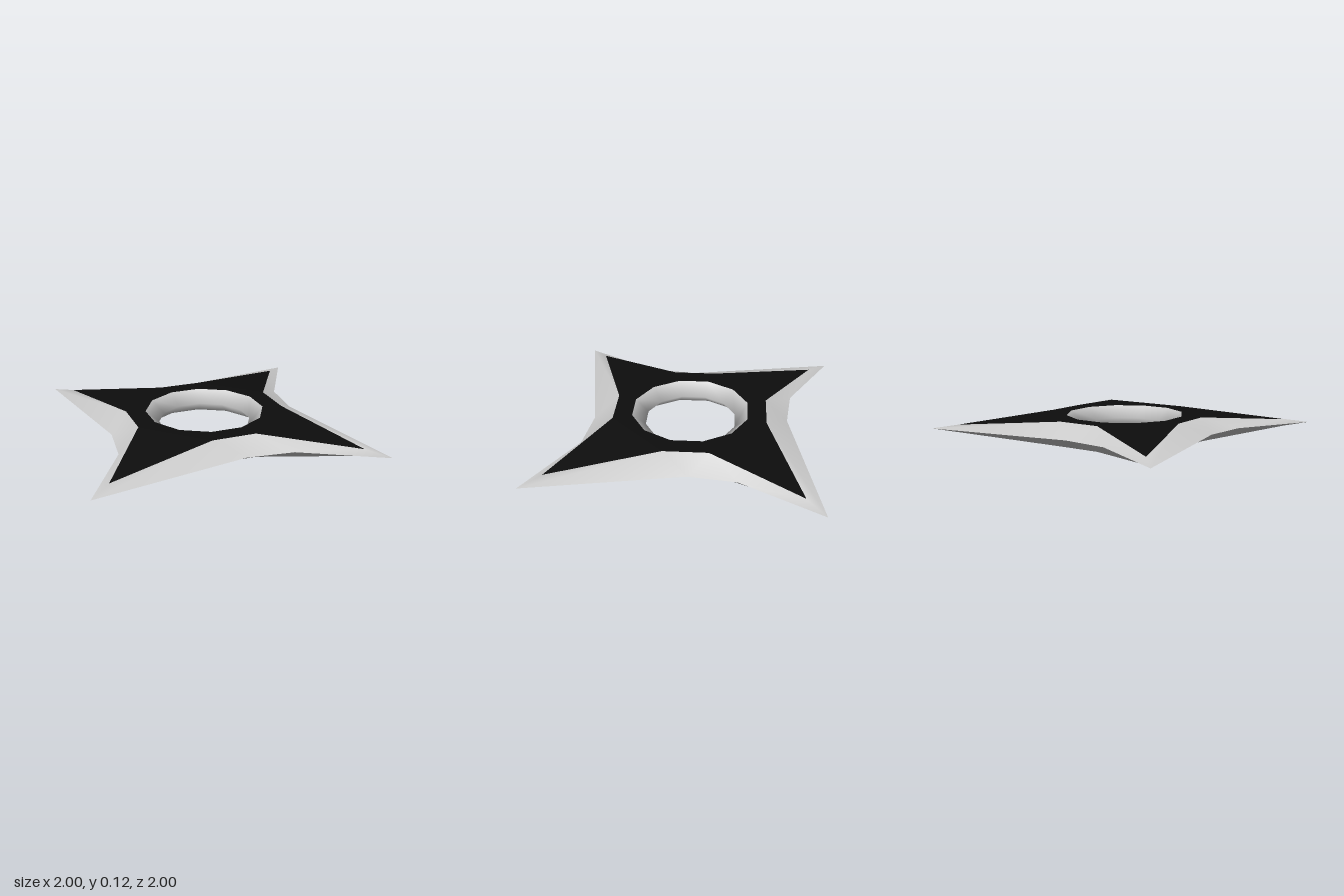
import * as THREE from 'three';
import { toCreasedNormals } from 'three/addons/utils/BufferGeometryUtils.js';

const THICK = 0.125, MID = THICK / 2;

// One quarter of each outline as [x, y, z], clockwise from above: tip, then two valley points
const EDGE = [[0.08, MID, -1], [0.2, MID, -0.56], [0.35, MID, -0.37]];
const FACE = [[0.07, 0.08, -0.865], [0.2, THICK, -0.36], [0.36, THICK, -0.2]];

// Repeats a quarter outline four times around the y axis
function fourfold(quarter) {
  const loop = [];
  let part = quarter;
  for (let i = 0; i < 4; i++) {
    loop.push(...part);
    part = part.map(([x, y, z]) => [-z, y, x]);
  }
  return loop;
}

// Triangles to geometry; below = true mirrors them to the underside
function fromTriangles(tris, below) {
  const pos = [];
  for (const [a, b, c] of tris) {
    const corners = below ? [a, c, b] : [a, b, c];
    for (const [x, y, z] of corners) pos.push(x, below ? THICK - y : y, z);
  }
  const g = new THREE.BufferGeometry();
  g.setAttribute('position', new THREE.Float32BufferAttribute(pos, 3));
  g.computeVertexNormals();
  return g;
}

export function createModel() {
  const group = new THREE.Group();
  const steel = new THREE.MeshStandardMaterial({ color: 0xcccccc });
  const black = new THREE.MeshStandardMaterial({ color: 0x0d0d0d });
  const add = (name, geometry, material) => {
    const mesh = new THREE.Mesh(geometry, material);
    mesh.name = name;
    group.add(mesh);
    return mesh;
  };

  const edge = fourfold(EDGE), face = fourfold(FACE);
  const n = edge.length;
  const bevelTris = [], pointTris = [];
  for (let i = 0; i < n; i++) {
    const j = (i + 1) % n;
    bevelTris.push([edge[j], edge[i], face[i]], [edge[j], face[i], face[j]]);
    if (i % 3 === 0) pointTris.push([face[i], face[(i + n - 1) % n], face[j]]);
  }

  // Flat octagonal centre with a twelve-sided hole
  const plate = new THREE.Shape(face.filter((p, i) => i % 3).map(([x, , z]) => new THREE.Vector2(x, -z)));
  const ring = [];
  for (let i = 0; i < 12; i++) {
    const a = (i * Math.PI) / 6;
    ring.push(new THREE.Vector2(0.31 * Math.cos(a), 0.31 * Math.sin(a)));
  }
  plate.holes.push(new THREE.Path(ring));

  for (const below of [false, true]) {
    const side = below ? 'lower' : 'upper';
    // Sharpened bevel around the outline
    add(side + 'Bevel', toCreasedNormals(fromTriangles(bevelTris, below), Math.PI / 3), steel);
    // Dark blade faces sloping to the tips
    add(side + 'BladeFaces', fromTriangles(pointTris, below), black);
    const centre = add(side + 'CentrePlate', new THREE.ShapeGeometry(plate), black);
    centre.rotation.x = below ? Math.PI / 2 : -Math.PI / 2;
    centre.position.y = below ? 0 : THICK;
  }

  // Hole wall, narrowest at mid height
  const wall = [[0.31, THICK], [0.24, MID], [0.31, 0]].map(([r, y]) => new THREE.Vector2(r, y));
  add('holeWall', new THREE.LatheGeometry(wall, 12), steel);

  return group;
}
